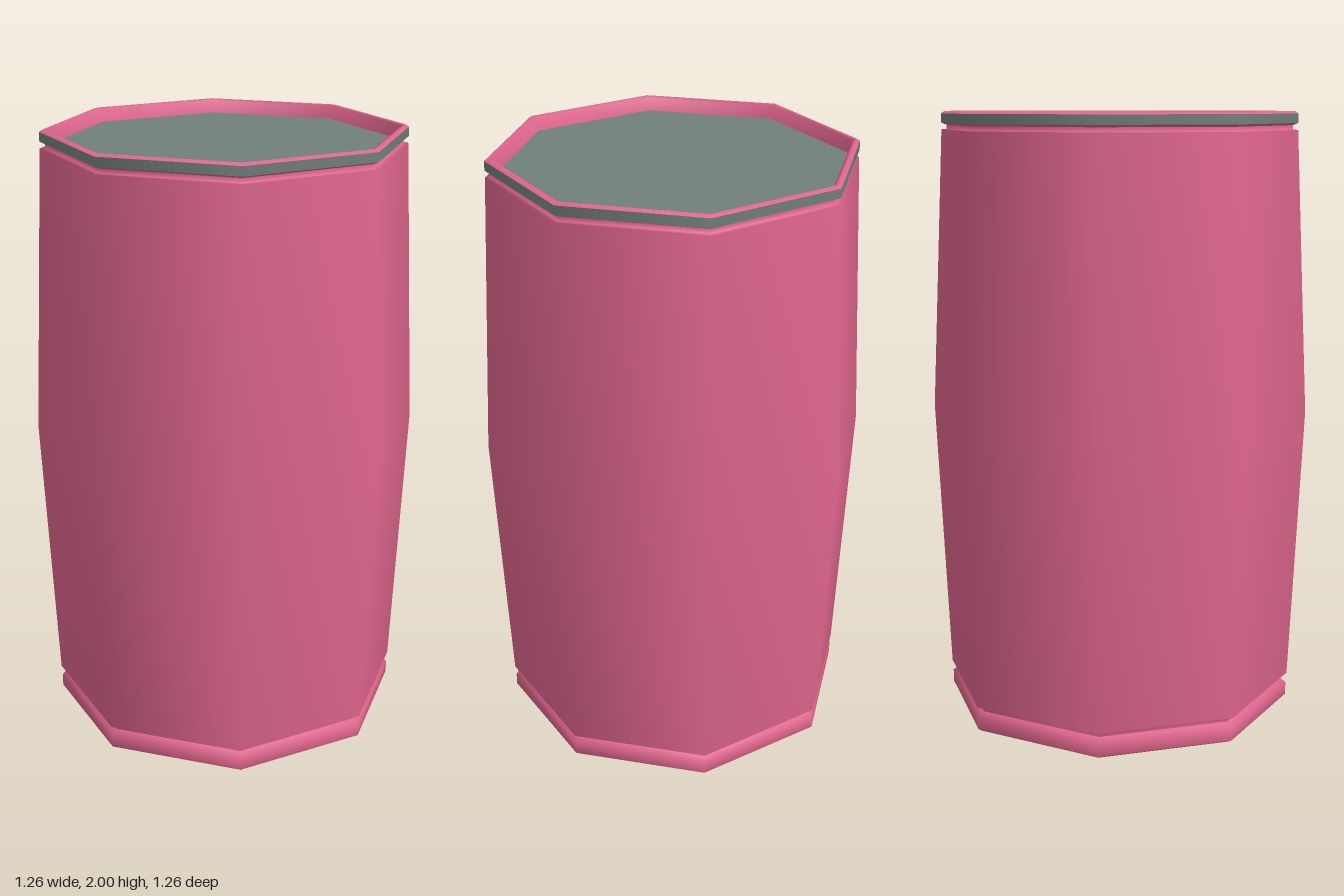
import * as THREE from 'three';

const SIDES = 8;

export function createModel() {
  const pink = new THREE.MeshStandardMaterial({ color: 0xe0668e });
  pink.name = 'pink';
  const grey = new THREE.MeshStandardMaterial({ color: 0x70807c });
  grey.name = 'slate grey';

  const barrel = new THREE.Group();
  barrel.name = 'barrel';

  // Octagonal ring or shell turned from a [radius, height] profile
  const turn = (name, material, profile) => {
    const points = profile.map(([r, y]) => new THREE.Vector2(r, y));
    const mesh = new THREE.Mesh(new THREE.LatheGeometry(points, SIDES), material);
    mesh.name = name;
    barrel.add(mesh);
  };

  // Bottom rim, recessed inside, with a groove under the body
  turn('bottomPanel', pink, [[0, 0.05], [0.55, 0.05]]);
  turn('bottomRim', pink, [
    [0.55, 0.05], [0.557, 0.008], [0.575, 0], [0.587, 0.008], [0.587, 0.05], [0.565, 0.065],
  ]);

  // Bulging body, with soft shading that rolls into the grooves
  turn('body', pink, [
    [0.565, 0.065], [0.565, 0.085], [0.59, 0.085], [0.632, 1.01], [0.587, 1.94], [0.57, 1.94], [0.57, 1.955],
  ]);

  // Top rim with a grey outer band and a recessed lid
  turn('rimUnderside', pink, [[0.57, 1.955], [0.587, 1.962]]);
  turn('rimBand', grey, [[0.587, 1.962], [0.587, 1.992]]);
  turn('topRim', pink, [[0.587, 1.992], [0.575, 2], [0.562, 1.995], [0.55, 1.955]]);
  turn('lid', grey, [[0.55, 1.955], [0, 1.955]]);

  return barrel;
}
